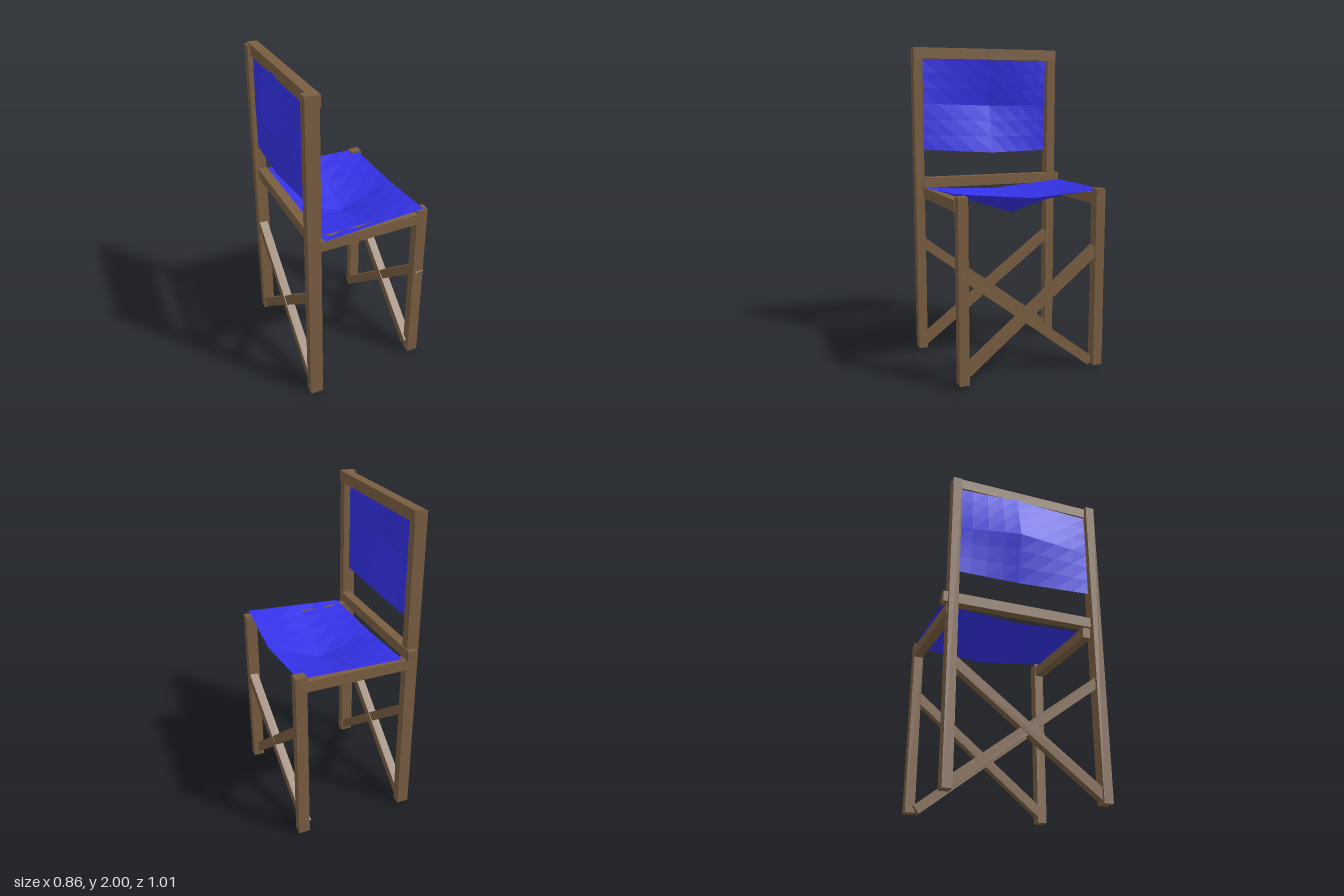
import * as THREE from 'three';

export function createModel() {
  const chair = new THREE.Group();
  chair.name = 'chair';

  const wood = new THREE.MeshStandardMaterial({ color: 0x795d40, flatShading: true });
  wood.name = 'brown wood';
  const canvas = new THREE.MeshStandardMaterial({ color: 0x3431e6, flatShading: true, side: THREE.DoubleSide });
  canvas.name = 'blue canvas';

  function add(name, geometry, material) {
    const mesh = new THREE.Mesh(geometry, material);
    mesh.name = name;
    chair.add(mesh);
    return mesh;
  }

  // Axis-aligned wooden bar given by its two extreme corners
  function bar(name, [x0, y0, z0], [x1, y1, z1]) {
    const mesh = add(name, new THREE.BoxGeometry(x1 - x0, y1 - y0, z1 - z0), wood);
    mesh.position.set((x0 + x1) / 2, (y0 + y1) / 2, (z0 + z1) / 2);
  }

  // Slanted wooden bar between two points
  function beam(name, from, to, width, height) {
    const a = new THREE.Vector3(...from);
    const b = new THREE.Vector3(...to);
    const mesh = add(name, new THREE.BoxGeometry(width, height, a.distanceTo(b)), wood);
    mesh.position.copy(a).add(b).multiplyScalar(0.5);
    mesh.lookAt(b);
  }

  // Cloth sheet: a coarse grid moved by a rule of u, v in -1..1
  function cloth(name, nu, nv, rule) {
    const geometry = new THREE.PlaneGeometry(2, 2, nu, nv);
    const p = geometry.attributes.position;
    for (let i = 0; i < p.count; i++) p.setXYZ(i, ...rule(p.getX(i), p.getY(i)));
    geometry.computeVertexNormals();
    add(name, geometry, canvas);
  }
  const tent = (t) => 1 - Math.abs(t);

  // Tall back posts and short front legs
  bar('backPostLeft', [-0.387, 0, 0.45], [-0.305, 2, 0.508]);
  bar('backPostRight', [-0.377, 0.01, -0.476], [-0.302, 1.99, -0.418]);
  bar('frontLegLeft', [0.352, 0.02, 0.375], [0.422, 1.135, 0.435]);
  bar('frontLegRight', [0.335, 0.02, -0.5], [0.405, 1.14, -0.44]);

  // Cross rails of the back
  bar('topRail', [-0.36, 1.93, -0.475], [-0.298, 2, 0.505]);
  bar('lowerBackRail', [-0.357, 1.1, -0.505], [-0.297, 1.166, 0.46]);

  // Side rails under the seat
  beam('sideRailLeft', [-0.34, 1.065, 0.43], [0.36, 1.078, 0.41], 0.058, 0.068);
  beam('sideRailRight', [-0.34, 1.065, -0.45], [0.38, 1.078, -0.475], 0.058, 0.068);

  // Crossed braces, front and back
  beam('frontBraceA', [0.397, 0.7, 0.42], [0.337, 0.035, -0.44], 0.055, 0.06);
  beam('frontBraceB', [0.365, 0.075, 0.39], [0.365, 0.765, -0.455], 0.055, 0.06);
  beam('backBraceA', [-0.34, 0.735, 0.47], [-0.34, 0.04, -0.44], 0.055, 0.06);
  beam('backBraceB', [-0.345, 0.04, 0.47], [-0.345, 0.745, -0.455], 0.055, 0.06);

  // Sagging seat
  cloth('seat', 4, 8, (u, v) => [
    0.06 + 0.325 * u + 0.02 * tent(v) * Math.sign(u),
    1.128 + 0.014 * u - 0.008 * v * u - 0.035 * tent(v) - 0.125 * tent(u) * tent(v),
    -0.02 - 0.475 * v + 0.012 * u * Math.min(v, 0),
  ]);

  // Backrest, pushed out to the rear
  cloth('backrest', 8, 6, (u, v) => {
    const bottom = 1.335 + 0.012 * u - 0.022 * tent(u);
    return [
      -0.345 - 0.015 * tent(u) - 0.07 * tent(u) * tent(v),
      bottom + (1.945 - bottom) * (v + 1) / 2,
      0.015 + 0.455 * u - 0.055 * tent(u),
    ];
  });

  return chair;
}
